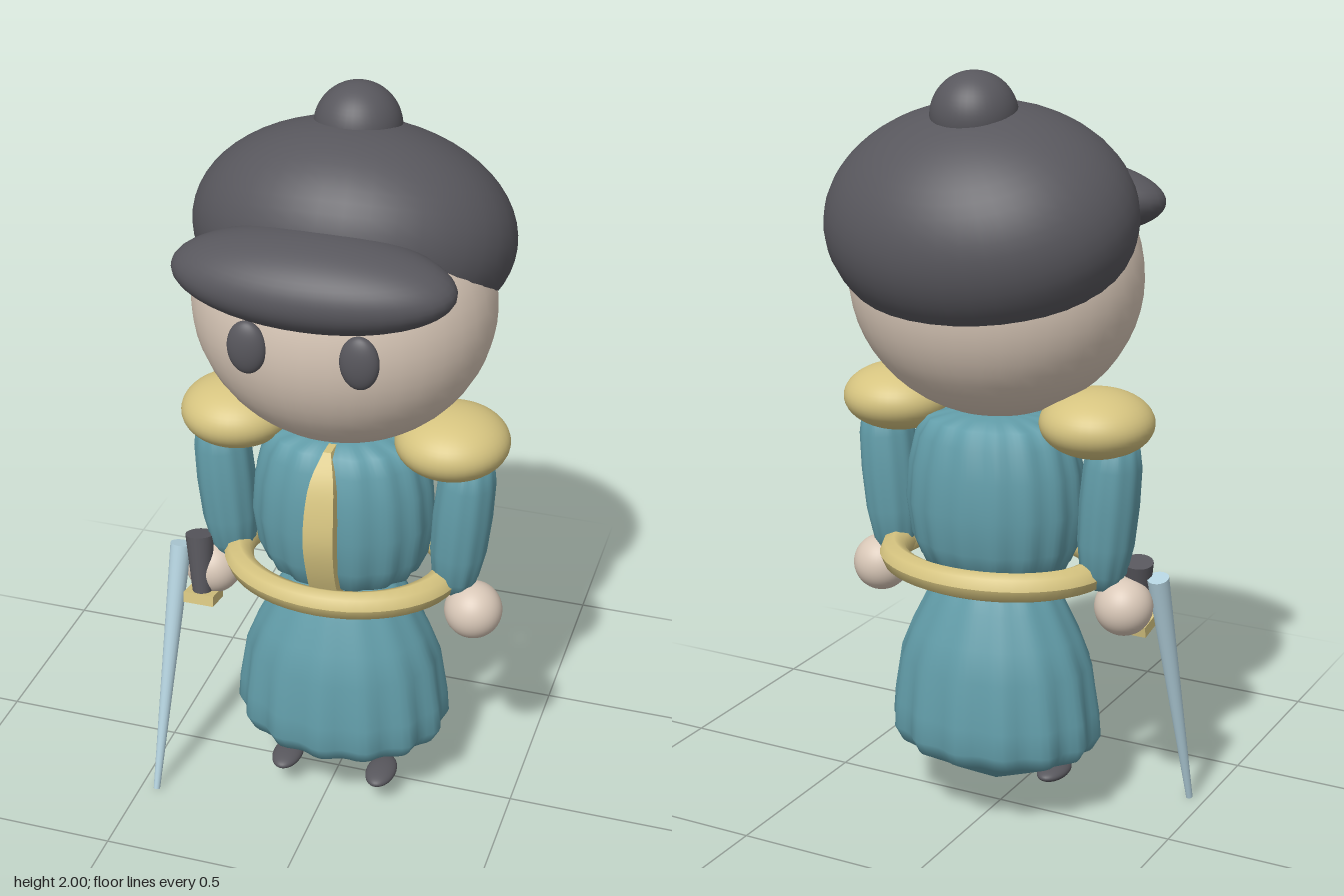
import * as THREE from 'three';
import { mergeVertices } from 'three/addons/utils/BufferGeometryUtils.js';

const mat = (name, color) => {
  const m = new THREE.MeshStandardMaterial({ color });
  m.name = name;
  return m;
};

export function createModel() {
  const dark = mat('charcoal', 0x58575d);
  const skin = mat('skin', 0xd9c8b8);
  const teal = mat('teal cloth', 0x629da9);
  const gold = mat('gold trim', 0xd6c480);
  const steel = mat('pale steel', 0xb4d2de);

  const model = new THREE.Group();
  model.name = 'officer';
  const figure = new THREE.Group();
  figure.name = 'figure';
  figure.position.x = 0.014;
  model.add(figure);

  const add = (name, geo, material, pos = [0, 0, 0], parent = figure) => {
    const mesh = new THREE.Mesh(geo, material);
    mesh.name = name;
    mesh.position.set(...pos);
    parent.add(mesh);
    return mesh;
  };

  const ellipsoid = (name, material, pos, radii, tilt = 0) => {
    const geo = new THREE.SphereGeometry(1, 40, 28).scale(...radii);
    const mesh = add(name, geo, material, pos);
    mesh.rotation.x = tilt;
    return mesh;
  };

  // Lathe with soft vertical folds; each profile point is [radius, y, fold depth]
  const folded = (profile, folds, depthRatio) => {
    const geo = new THREE.LatheGeometry(profile.map(([r, y]) => new THREE.Vector2(r, y)), folds * 6);
    const p = geo.attributes.position;
    for (let i = 0; i < p.count; i++) {
      const a = Math.atan2(p.getX(i), p.getZ(i));
      const k = 1 + profile[i % profile.length][2] * Math.cos(folds * a);
      p.setX(i, p.getX(i) * k);
      p.setZ(i, p.getZ(i) * k * depthRatio);
    }
    geo.deleteAttribute('uv');
    geo.deleteAttribute('normal');
    const merged = mergeVertices(geo, 1e-5);
    merged.computeVertexNormals();
    return merged;
  };

  // Tapered rod between two points
  const rod = (name, material, from, to, r0, r1, parent) => {
    const a = new THREE.Vector3(...from), b = new THREE.Vector3(...to);
    const dir = b.clone().sub(a);
    const mesh = add(name, new THREE.CylinderGeometry(r1, r0, dir.length(), 20), material,
      a.clone().add(b).multiplyScalar(0.5).toArray(), parent);
    mesh.quaternion.setFromUnitVectors(new THREE.Vector3(0, 1, 0), dir.normalize());
    return mesh;
  };

  // Head and cap
  ellipsoid('head', skin, [0, 1.475, 0], [0.386, 0.365, 0.347]);
  ellipsoid('cap', dark, [0, 1.63, -0.083], [0.41, 0.279, 0.3425], -0.41);
  ellipsoid('visor', dark, [0, 1.643, 0.255], [0.351, 0.109, 0.157], 0.15);
  ellipsoid('capButton', dark, [0, 1.89, -0.112], [0.11, 0.11, 0.11]);

  // Coat body and skirt
  add('coatBody', folded([
    [0, 0.67, 0], [0.15, 0.68, 0.03], [0.2, 0.71, 0.03], [0.228, 0.77, 0.02], [0.243, 0.87, 0.015],
    [0.235, 0.97, 0.015], [0.215, 1.05, 0.02], [0.185, 1.095, 0.03], [0.12, 1.11, 0.03], [0, 1.115, 0],
  ], 16, 0.8), teal);
  add('skirt', folded([
    [0, 0.065, 0], [0.13, 0.125, 0.02], [0.265, 0.19, 0.035], [0.287, 0.23, 0.035], [0.283, 0.3, 0.03],
    [0.266, 0.43, 0.015], [0.235, 0.51, 0.01], [0.19, 0.6, 0.01], [0.155, 0.66, 0.02], [0.12, 0.7, 0.02], [0, 0.71, 0],
  ], 14, 0.79), teal);

  // Belt: oval ring
  const belt = new THREE.TorusGeometry(0.285, 0.04, 8, 48);
  belt.rotateX(Math.PI / 2);
  belt.scale(1, 1, 0.79);
  belt.computeVertexNormals();
  add('belt', belt, gold, [0, 0.71, 0.002]);

  // Front placket: bowed strip, pointed at the top
  const bow = new THREE.CatmullRomCurve3([
    [0.01, 0.69, 0.17], [0.038, 0.78, 0.207], [0.04, 0.88, 0.228],
    [0.038, 0.98, 0.215], [0.03, 1.05, 0.19], [0.01, 1.11, 0.145],
  ].map((v) => new THREE.Vector3(...v)));
  bow.points[0].x = 0.038;
  const strip = new THREE.BoxGeometry(1, 1, 1, 1, 14, 1);
  const sp = strip.attributes.position;
  for (let i = 0; i < sp.count; i++) {
    const c = bow.getPoint(THREE.MathUtils.clamp(sp.getY(i) + 0.5, 0, 1));
    sp.setXYZ(i, Math.sign(sp.getX(i)) * c.x, c.y, sp.getZ(i) > 0 ? c.z : c.z - 0.06);
  }
  strip.computeVertexNormals();
  add('placket', strip, gold);

  // Mirrored parts
  const armGeo = folded([
    [0, -0.22, 0], [0.035, -0.215, 0.03], [0.06, -0.17, 0.03], [0.073, -0.09, 0.02], [0.077, 0.02, 0.015],
    [0.074, 0.12, 0.015], [0.06, 0.19, 0.03], [0, 0.22, 0],
  ], 10, 1.05);
  for (const [side, s] of [['left', 1], ['right', -1]]) {
    ellipsoid(side + 'Eye', dark, [s * 0.14, 1.48, 0.333], [0.049, 0.069, 0.027]);
    ellipsoid(side + 'Epaulette', gold, [s * 0.289, 1.118, 0.002], [0.148, 0.088, 0.15]);
    ellipsoid(side + 'Hand', skin, [s * 0.364, 0.627, 0.02], [0.077, 0.077, 0.077]);
    ellipsoid(side + 'Shoe', dark, [s * 0.136, 0.082, 0.085], [0.041, 0.021, 0.07]);
    const arm = add(side + 'Arm', armGeo, teal, [s * 0.323, 0.89, 0.008]);
    arm.rotation.z = s * -0.08;
  }

  // Sword in the right hand
  const sword = new THREE.Group();
  sword.name = 'sword';
  model.add(sword);
  rod('blade', steel, [-0.455, 0.003, 0.252], [-0.428, 0.705, 0.06], 0.009, 0.029, sword);
  rod('grip', dark, [-0.362, 0.58, 0.085], [-0.375, 0.742, 0.055], 0.026, 0.039, sword);
  const guard = add('guard', new THREE.BoxGeometry(0.085, 0.03, 0.08), gold, [-0.362, 0.563, 0.078], sword);
  guard.rotation.x = -0.2;

  return model;
}
